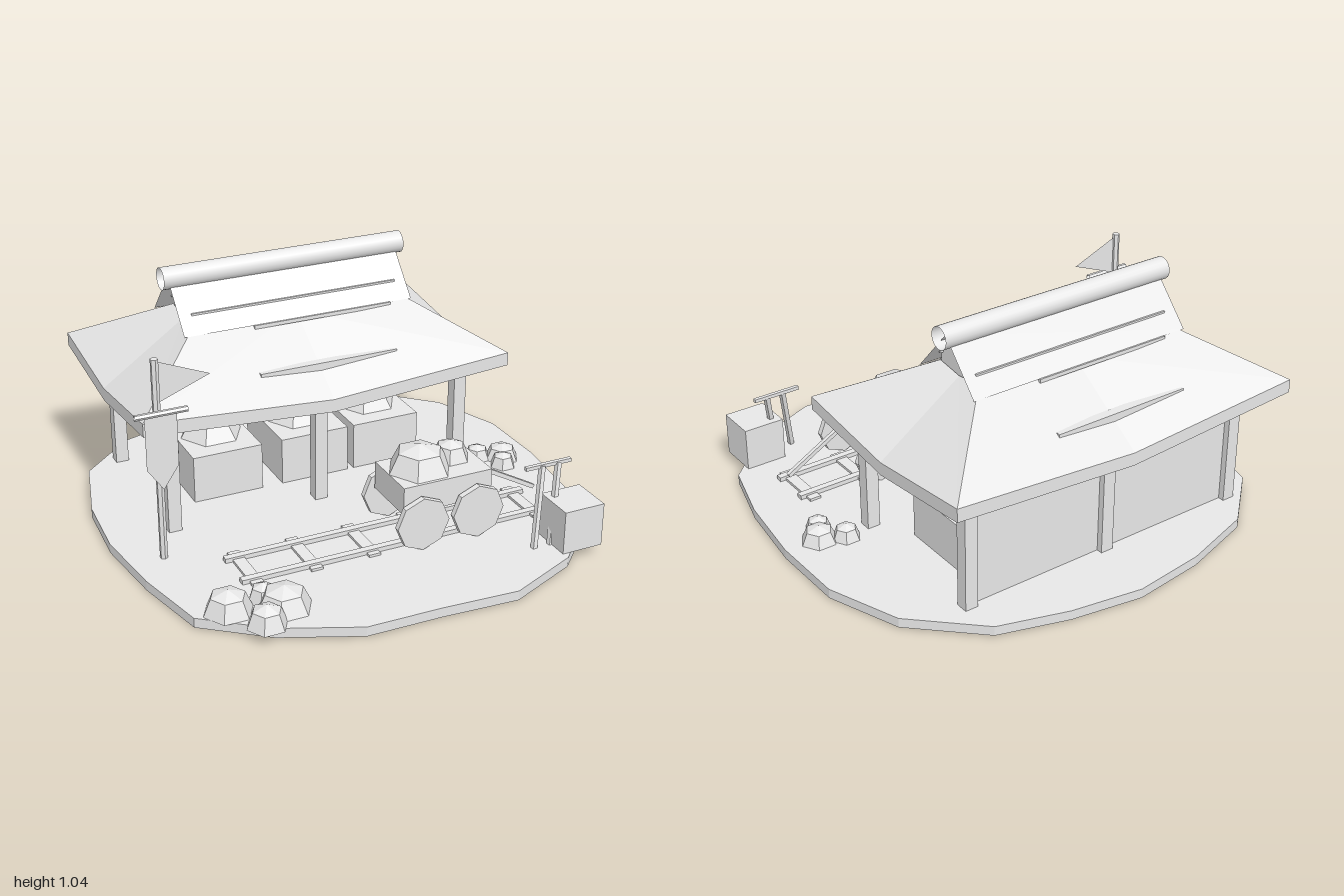
import * as THREE from 'three';

const grey = new THREE.MeshStandardMaterial({ color: 0xe7e7e7 });
grey.name = 'plain grey';
// same grey for open sheets
const greySheet = new THREE.MeshStandardMaterial({ color: 0xe7e7e7, side: THREE.DoubleSide });
greySheet.name = 'plain grey sheet';

const flat = (geo) => {
  const g = geo.index ? geo.toNonIndexed() : geo;
  g.computeVertexNormals();
  return g;
};

export function createModel() {
  const model = new THREE.Group();
  model.name = 'miningShelter';

  const add = (name, geo, material = grey) => {
    const mesh = new THREE.Mesh(geo, material);
    mesh.name = name;
    model.add(mesh);
    return mesh;
  };
  // box given by its min and max on each axis
  const box = (name, x0, x1, y0, y1, z0, z1) =>
    add(name, new THREE.BoxGeometry(x1 - x0, y1 - y0, z1 - z0))
      .position.set((x0 + x1) / 2, (y0 + y1) / 2, (z0 + z1) / 2);
  // square bar between two points
  const bar = (name, a, b, size) => {
    const from = new THREE.Vector3(...a), to = new THREE.Vector3(...b);
    const mesh = add(name, new THREE.BoxGeometry(size, from.distanceTo(to), size));
    mesh.position.copy(from).lerp(to, 0.5);
    mesh.quaternion.setFromUnitVectors(new THREE.Vector3(0, 1, 0), to.sub(from).normalize());
  };
  // six-sided two-tier boulder
  const rock = (name, x, y, z, r, h) => {
    const profile = [[r, 0], [r * 0.7, h * 0.74], [0, h]].map((p) => new THREE.Vector2(...p));
    const mesh = add(name, flat(new THREE.LatheGeometry(profile, 6)));
    mesh.rotation.y = Math.PI / 6;
    mesh.position.set(x, y, z);
  };
  const sheet = (name, points, z) => {
    const shape = new THREE.Shape(points.map((p) => new THREE.Vector2(...p)));
    add(name, new THREE.ShapeGeometry(shape), greySheet).position.z = z;
  };

  // ground slab, irregular outline in x, z
  const outline = [
    [0.005, -1], [0.31, -0.95], [0.6, -0.86], [0.86, -0.61], [0.975, -0.3], [0.98, 0.03], [0.94, 0.36],
    [0.865, 0.64], [0.63, 0.87], [0.325, 1], [0, 0.98], [-0.31, 0.975], [-0.62, 0.84],
    [-0.865, 0.65], [-0.94, 0.33], [-0.98, 0], [-0.96, -0.31], [-0.87, -0.64], [-0.63, -0.86], [-0.31, -0.96],
  ];
  const ground = new THREE.Shape(outline.map(([x, z]) => new THREE.Vector2(x, -z)));
  const G = 0.044;
  add('ground', new THREE.ExtrudeGeometry(ground, { depth: G - 0.003, bevelEnabled: false }).rotateX(-Math.PI / 2))
    .position.y = 0.003;

  // three posts along the front and back, and the back wall
  for (const x of [-0.705, -0.05, 0.605]) {
    box('frontPost', x - 0.028, x + 0.028, G, 0.55, -0.037, 0.017);
    box('backPost', x - 0.028, x + 0.028, G, 0.55, -0.722, -0.668);
  }
  const wall = add('backWall', new THREE.PlaneGeometry(1.31, 0.48));
  wall.rotation.y = Math.PI;
  wall.position.set(-0.05, G + 0.24, -0.695);

  // sagging hip roof: rings of four corners and four side middles
  const cx = -0.05, cz = -0.358;
  const ring = (hx, hz, corner, middle) =>
    [[-1, 1], [0, 1], [1, 1], [1, 0], [1, -1], [0, -1], [-1, -1], [-1, 0]]
      .map(([sx, sz]) => [cx + sx * hx, sx && sz ? corner : middle, cz + sz * hz]);
  const rings = [
    ring(0, 0, 0.482, 0.482),
    ring(0.81, 0.5, 0.56, 0.505),
    ring(0.81, 0.5, 0.617, 0.56),
    ring(0.45, 0.125, 0.828, 0.812),
  ];
  const corners = [];
  for (let r = 0; r < rings.length - 1; r++) {
    const a = rings[r], b = rings[r + 1];
    for (let i = 0; i < 8; i++) {
      const j = (i + 1) % 8;
      // split each sagging quad so the fold runs along the hip
      if (i % 2) corners.push(a[i], a[j], b[i], a[j], b[j], b[i]);
      else corners.push(a[i], a[j], b[j], a[i], b[j], b[i]);
    }
  }
  const roof = new THREE.BufferGeometry();
  roof.setAttribute('position', new THREE.Float32BufferAttribute(corners.flat(), 3));
  add('hipRoof', flat(roof));

  // gable core under the ridge
  const gable = new THREE.Shape([[-0.125, 0.78], [0.125, 0.78], [0.125, 0.86], [0, 0.99], [-0.125, 0.86]]
    .map((p) => new THREE.Vector2(...p)));
  add('gable', new THREE.ExtrudeGeometry(gable, { depth: 0.89, bevelEnabled: false }).rotateY(Math.PI / 2))
    .position.set(-0.495, 0, cz);

  // steep upper panels, with three battens down each slope
  for (const s of [1, -1]) {
    const panel = add('upperRoofPanel', new THREE.PlaneGeometry(1.025, 0.269), greySheet);
    panel.rotation.x = -s * Math.atan2(0.18, 0.2);
    panel.position.set(-0.052, 0.9, cz + s * 0.09);
    // sideways shift, half length, height, thickness, distance from ridge, depth
    [[0, 0.46, 0.868, 0.008, 0.117, 0.012], [0.1, 0.31, 0.793, 0.016, 0.176, 0.02], [0.038, 0.305, 0.648, 0.05, 0.36, 0.04]]
      .forEach(([shift, half, y, t, d, w]) => {
        const x = cx + s * shift, z = cz + s * d;
        box('roofBatten', x - half, x + half, y - t / 2, y + t / 2, z - w / 2, z + w / 2);
      });
  }
  // hollow ridge tube
  const ridge = add('ridgeTube', new THREE.CylinderGeometry(0.047, 0.047, 1.085, 20, 1, true), greySheet);
  ridge.rotation.z = Math.PI / 2;
  ridge.position.set(-0.052, 0.995, cz);

  // ore crates under the roof
  for (const x of [-0.392, 0.01, 0.35]) {
    box('oreCrate', x - 0.155, x + 0.155, G, 0.25, -0.575, -0.18);
    rock('crateOre', x, 0.25, -0.38, 0.137, 0.09);
  }

  // track, with ties set through the slab
  for (let i = 0; i < 6; i++) {
    const x = -0.56 + i * 0.251;
    box('trackTie', x - 0.025, x + 0.025, 0, 0.055, 0.278, 0.538);
  }
  for (const z of [0.325, 0.5]) box('rail', -0.615, 0.745, 0.045, 0.064, z - 0.015, z + 0.015);

  // mine cart
  box('cartBody', 0.065, 0.462, 0.2, 0.32, 0.284, 0.54);
  for (const x of [0.138, 0.388]) {
    for (const z of [0.258, 0.562]) {
      const wheel = add('cartWheel', flat(new THREE.CylinderGeometry(0.115, 0.115, 0.026, 8)));
      wheel.rotation.x = Math.PI / 2;
      wheel.position.set(x, 0.16, z);
    }
  }
  bar('cartHandle', [0.45, 0.28, 0.41], [0.745, 0.115, 0.41], 0.018);
  rock('cartOre', 0.2, 0.32, 0.41, 0.135, 0.11);
  rock('cartOre', 0.36, 0.32, 0.378, 0.082, 0.08);

  // loose boulders: x, z, radius, height
  [[-0.732, 0.66, 0.1, 0.095], [-0.582, 0.64, 0.062, 0.075], [-0.53, 0.72, 0.112, 0.095],
    [-0.637, 0.808, 0.082, 0.09], [0.835, 0.01, 0.077, 0.07], [0.8, 0.078, 0.058, 0.065], [0.735, -0.035, 0.06, 0.065]]
    .forEach(([x, z, r, h]) => rock('boulder', x, G, z, r, h));

  // flagpole, with the banner hung in front and a pennant on top
  const pole = add('flagPole', flat(new THREE.CylinderGeometry(0.016, 0.016, 0.9 - G, 6)));
  pole.position.set(-0.817, (0.9 + G) / 2, 0.188);
  const rod = add('bannerRod', flat(new THREE.CylinderGeometry(0.012, 0.012, 0.213, 6, 1, true)), greySheet);
  rod.rotation.z = Math.PI / 2;
  rod.position.set(-0.818, 0.699, 0.243);
  sheet('banner', [[-0.885, 0.69], [-0.885, 0.47], [-0.82, 0.375], [-0.755, 0.47], [-0.755, 0.69]], 0.243);
  sheet('pennant', [[-0.802, 0.885], [-0.802, 0.72], [-0.595, 0.8]], 0.188);

  // tool box with leaning tools
  box('toolBox', 0.625, 0.805, G, 0.23, 0.66, 0.84);
  box('toolRail', 0.54, 0.75, 0.352, 0.367, 0.655, 0.672);
  for (const x of [0.615, 0.69]) bar('toolHandle', [x, 0.36, 0.668], [x - 0.075, 0.01, 0.755], 0.02);

  return model;
}
